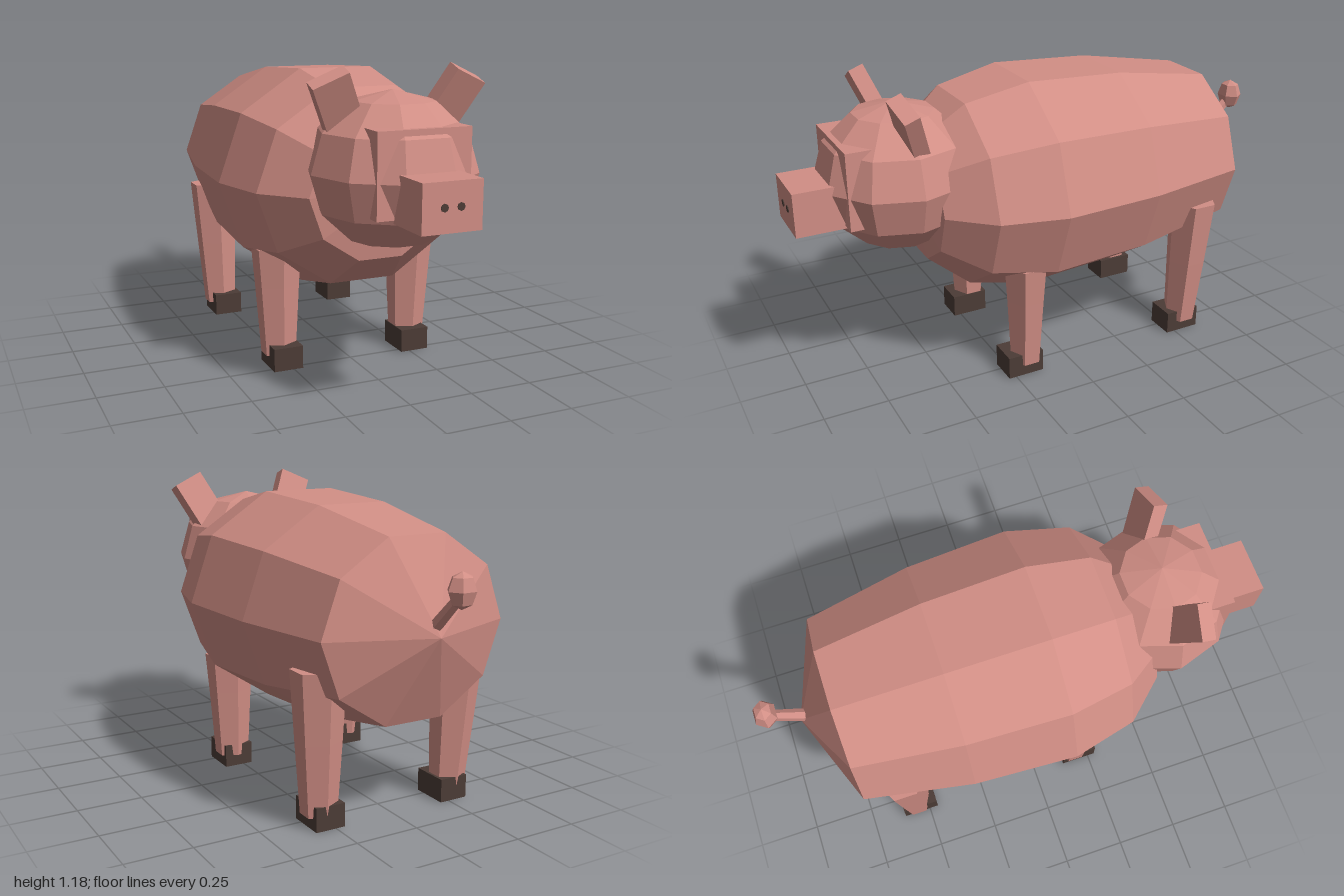
import * as THREE from 'three';

const skin = new THREE.MeshStandardMaterial({ color: 0xd18e85, flatShading: true });
skin.name = 'pink skin';
const dark = new THREE.MeshStandardMaterial({ color: 0x4c3c36, flatShading: true });
dark.name = 'dark hoof';

export function createModel() {
  const pig = new THREE.Group();
  pig.name = 'pig';

  const add = (name, geometry, material, x = 0, y = 0, z = 0) => {
    const mesh = new THREE.Mesh(geometry, material);
    mesh.name = name;
    mesh.position.set(x, y, z);
    pig.add(mesh);
    return mesh;
  };
  const profile = (points) => points.map(([r, y]) => new THREE.Vector2(r, y));

  // Barrel body: ten-sided lathe laid along z, slightly flattened
  const barrel = new THREE.LatheGeometry(profile([
    [0, -0.86], [0.377, -0.715], [0.456, -0.3], [0.48, 0.1], [0.42, 0.35], [0.28, 0.505], [0, 0.54],
  ]), 10, Math.PI / 2);
  barrel.rotateX(Math.PI / 2).scale(1, 0.917, 1);
  add('body', barrel, skin, 0, 0.715, 0);

  // Head with a square face block and snout
  const skull = new THREE.SphereGeometry(0.305, 10, 6).scale(1, 0.92, 1);
  add('head', skull, skin, 0, 0.812, 0.58);
  add('face', new THREE.BoxGeometry(0.35, 0.295, 0.22), skin, 0, 0.837, 0.71);
  add('snout', new THREE.BoxGeometry(0.22, 0.168, 0.22), skin, 0, 0.761, 0.89);

  // Legs: six-sided, widening and leaning outwards towards the top
  const legGeometry = (top, radius, lean, back) => {
    const g = new THREE.LatheGeometry(profile([
      [0, 0.045], [0.062, 0.045], [0.078, 0.32], [radius, top], [0, top],
    ]), 6);
    const p = g.attributes.position;
    for (let i = 0; i < p.count; i++) {
      const y = p.getY(i);
      p.setX(i, p.getX(i) * 1.12 + lean * y);
      p.setZ(i, p.getZ(i) - back * y);
    }
    g.computeVertexNormals();
    return g;
  };

  for (const side of [-1, 1]) {
    const label = side > 0 ? 'left' : 'right';

    const ear = add(label + 'Ear', new THREE.BoxGeometry(0.135, 0.23, 0.06), skin, side * 0.217, 1.047, 0.598);
    ear.rotation.set(0.36, 0, -side * 0.44);

    add(label + 'Nostril', new THREE.CylinderGeometry(0.014, 0.014, 0.006, 8).rotateX(Math.PI / 2),
      dark, side * 0.03, 0.761, 1.0);

    add(label + 'FrontLeg', legGeometry(0.47, 0.088, side * 0.015, 0), skin, side * 0.278, 0, 0.185);
    add(label + 'FrontHoof', new THREE.BoxGeometry(0.117, 0.09, 0.147), dark, side * 0.272, 0.045, 0.206);
    add(label + 'RearLeg', legGeometry(0.585, 0.092, side * 0.028, 0.04), skin, side * 0.284, 0, -0.546);
    add(label + 'RearHoof', new THREE.BoxGeometry(0.117, 0.09, 0.147), dark, side * 0.272, 0.045, -0.537);
  }

  // Tail: thin slanted stem with a faceted knob
  const stem = add('tail', new THREE.CylinderGeometry(0.02, 0.026, 0.21, 6), skin, 0, 0.795, -0.872);
  stem.rotation.x = -0.8;
  add('tailTip', new THREE.SphereGeometry(0.056, 6, 4).scale(1, 1.12, 0.83), skin, 0, 0.892, -0.959);

  return pig;
}
